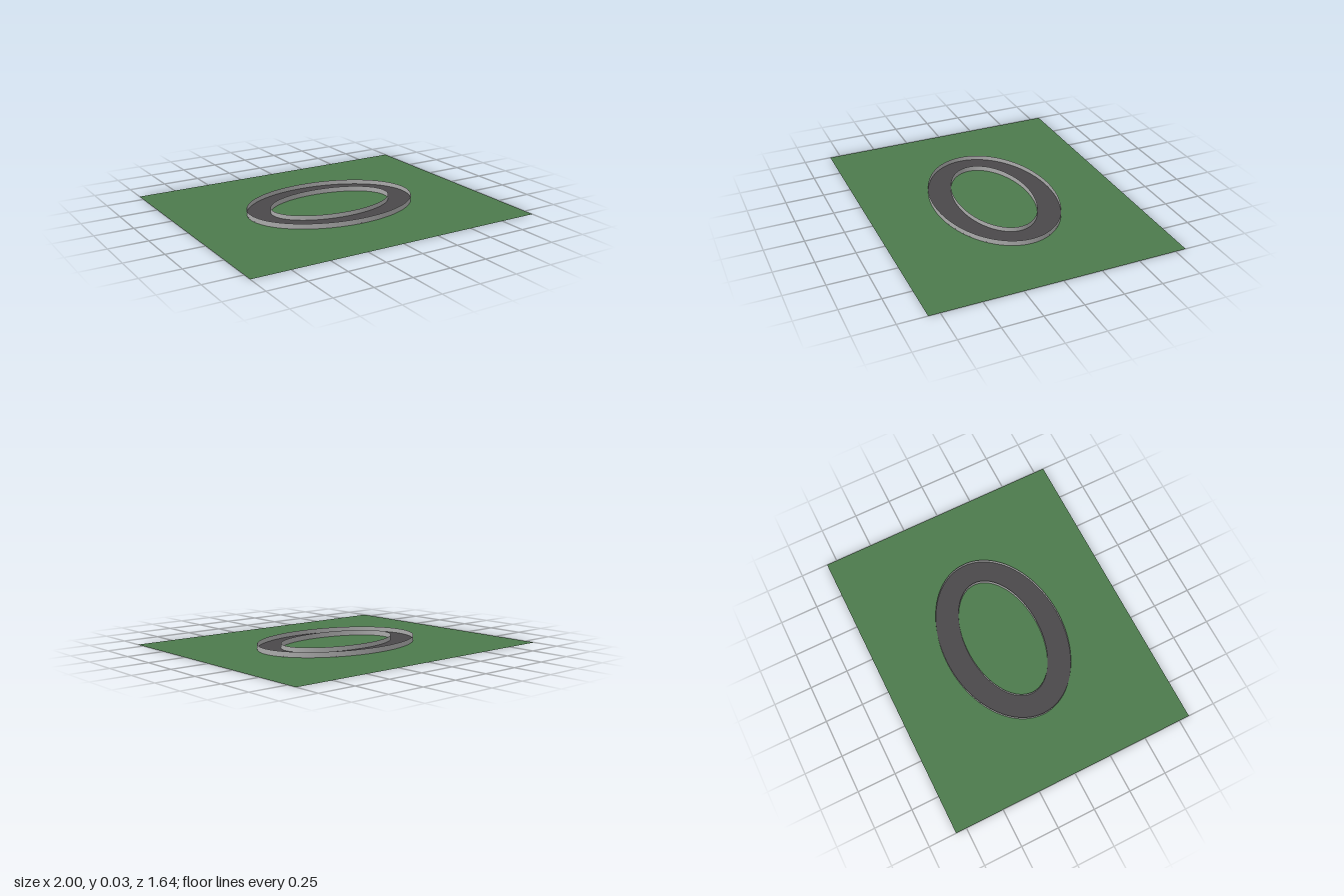
import * as THREE from 'three';

const SEGMENTS = 128;
const WALL_HEIGHT = 0.034;
const OUTER = [0.576, 0.399]; // half-axes in x and z
const INNER = [0.422, 0.246];

const material = (color) => new THREE.MeshStandardMaterial({ color, side: THREE.DoubleSide });

function addMesh(group, name, geometry, mat) {
  const mesh = new THREE.Mesh(geometry, mat);
  mesh.name = name;
  group.add(mesh);
}

// Thin upright wall following an ellipse
function wallGeometry([rx, rz]) {
  return new THREE.CylinderGeometry(1, 1, WALL_HEIGHT, SEGMENTS, 1, true)
    .scale(rx, 1, rz)
    .translate(0, WALL_HEIGHT / 2, 0);
}

export function createModel() {
  const model = new THREE.Group();
  model.name = 'ovalTrack';

  // Grass field
  const grass = new THREE.PlaneGeometry(2, 1.64).rotateX(-Math.PI / 2);
  addMesh(model, 'grass', grass, material(0x4c7a4c));

  // Flat oval road, just above the grass
  const roadShape = new THREE.Shape().absellipse(0, 0, ...OUTER, 0, Math.PI * 2);
  roadShape.holes.push(new THREE.Path().absellipse(0, 0, ...INNER, 0, Math.PI * 2));
  const road = new THREE.ShapeGeometry(roadShape, SEGMENTS)
    .rotateX(-Math.PI / 2)
    .translate(0, 0.004, 0);
  addMesh(model, 'road', road, material(0x4a484a));

  // Barriers along both edges of the road
  const wallMaterial = material(0xaaaaaa);
  addMesh(model, 'outerWall', wallGeometry(OUTER), wallMaterial);
  addMesh(model, 'innerWall', wallGeometry(INNER), wallMaterial);

  return model;
}
